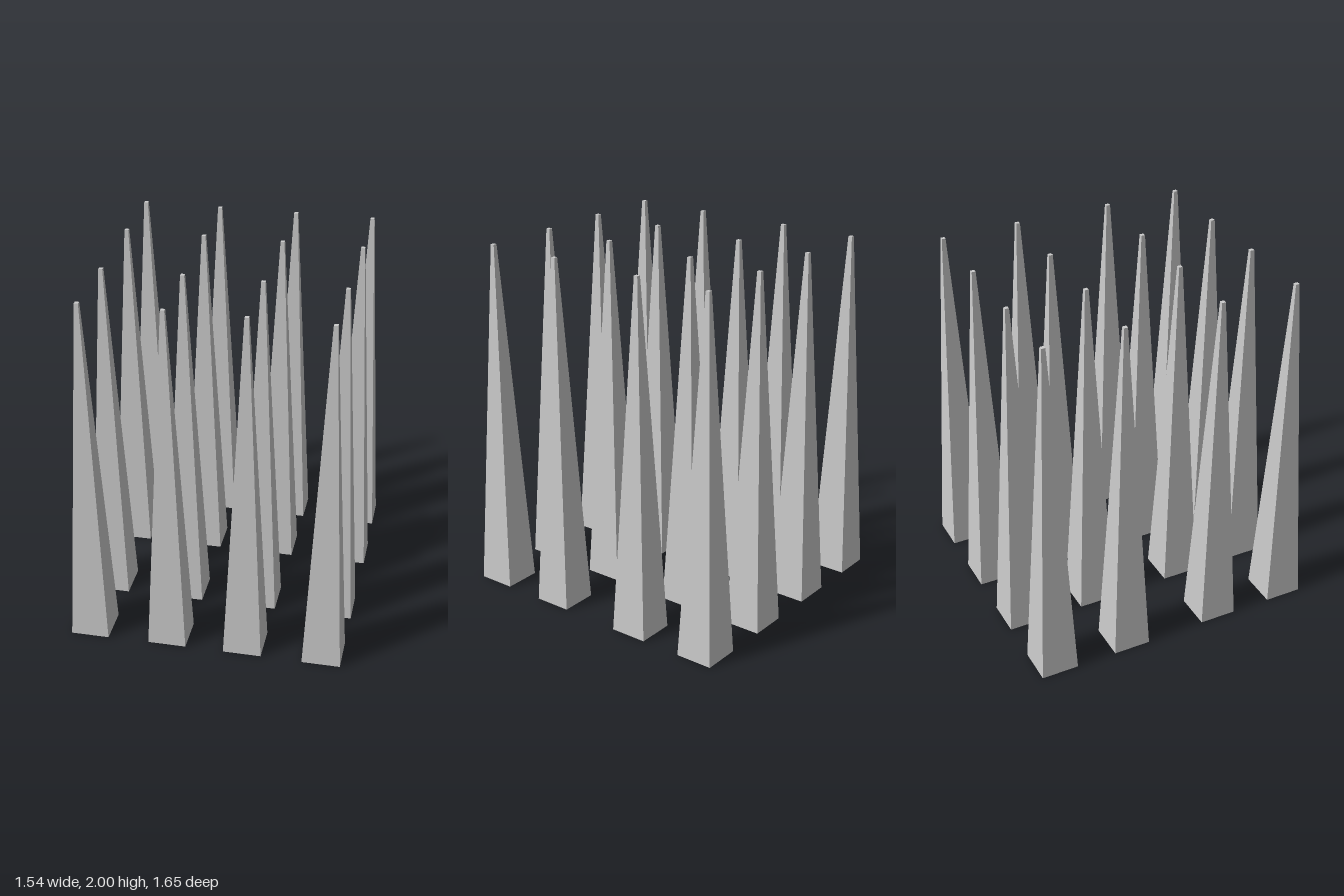
import * as THREE from 'three';

const HEIGHT = 2;
const BASE_HALF = 0.106;
const TIP_HALF = 0.011;

// Spike centres: each row lists its four x positions, with z for the outer and inner pairs
const ROWS = [
  { x: [-0.668, -0.226, 0.221, 0.661], outerZ: -0.723, innerZ: -0.723 },
  { x: [-0.667, -0.225, 0.218, 0.661], outerZ: -0.281, innerZ: -0.281 },
  { x: [-0.657, -0.217, 0.212, 0.653], outerZ: 0.277, innerZ: 0.272 },
  { x: [-0.656, -0.215, 0.210, 0.650], outerZ: 0.716, innerZ: 0.712 },
];

// Square, closed spike with a tiny flat tip, standing on y = 0
function spikeGeometry() {
  const geometry = new THREE.CylinderGeometry(TIP_HALF * Math.SQRT2, BASE_HALF * Math.SQRT2, HEIGHT, 4);
  geometry.rotateY(Math.PI / 4);
  geometry.translate(0, HEIGHT / 2, 0);
  return geometry;
}

export function createModel() {
  const model = new THREE.Group();
  model.name = 'spikeField';
  const material = new THREE.MeshStandardMaterial({ color: 0xcccccc, flatShading: true });
  const geometry = spikeGeometry();

  ROWS.forEach((row, r) => {
    const group = new THREE.Group();
    group.name = `spikeRow${r + 1}`;
    row.x.forEach((x, c) => {
      const spike = new THREE.Mesh(geometry, material);
      spike.name = `spike${r + 1}_${c + 1}`;
      const isOuter = c === 0 || c === 3;
      spike.position.set(x, 0, isOuter ? row.outerZ : row.innerZ);
      group.add(spike);
    });
    model.add(group);
  });
  return model;
}
